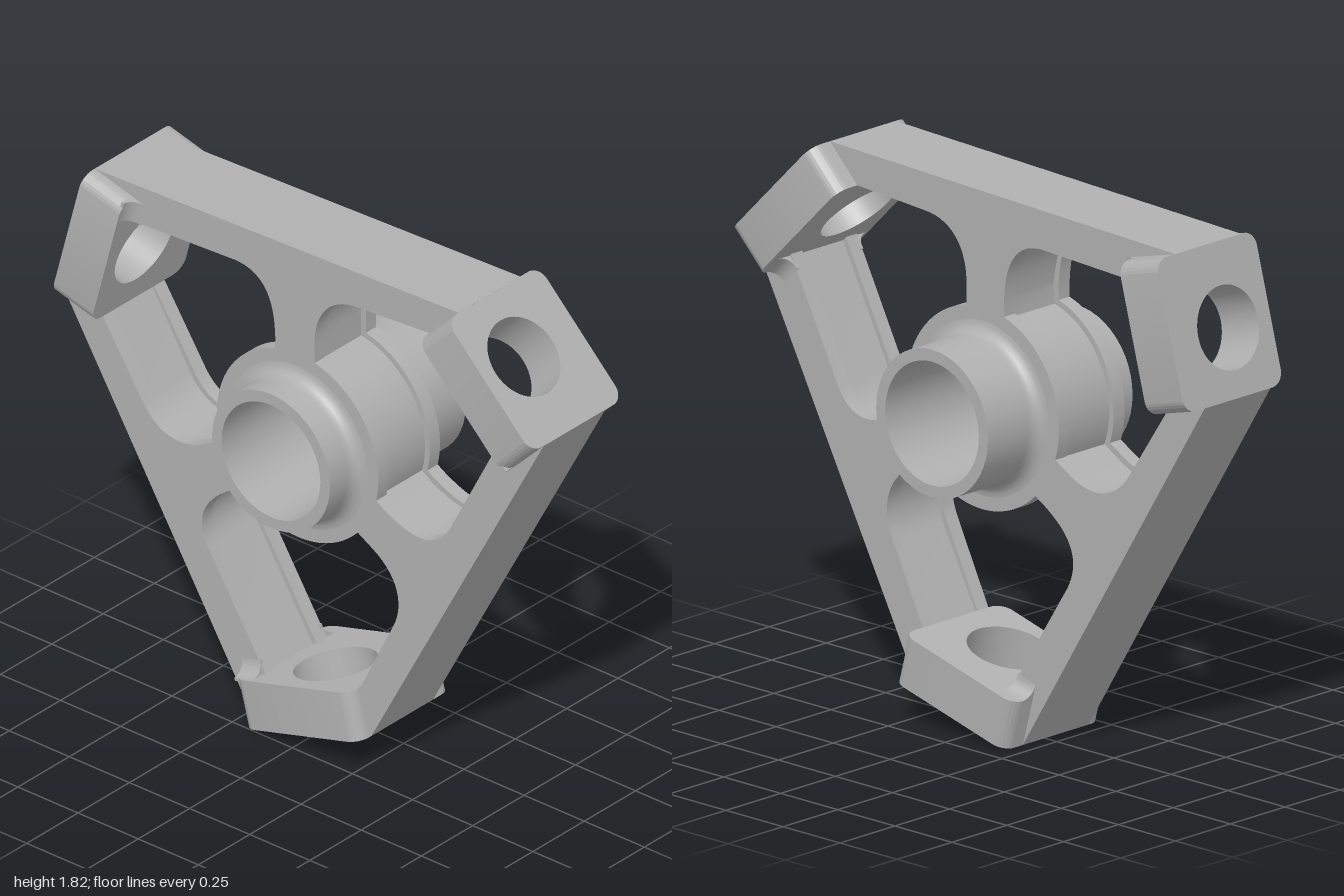
import * as THREE from 'three';
import { toCreasedNormals } from 'three/addons/utils/BufferGeometryUtils.js';

const BACK = -0.1, FRONT = 0.2;          // faces of the frame plate
const PAD_IN = 0.825, PAD_OUT = 0.995;   // pad distances from the hub axis
const PAD_V0 = -0.05, PAD_V1 = 0.45;     // pad extent along its tangent

const smooth = (g) => toCreasedNormals(g, 0.6);

// One third of the frame outline; g widens the pocket
function thirdOutline(g) {
  const p = new THREE.Path();
  const r = 0.335 - g, x0 = 0.07 - g;
  const a0 = Math.acos(x0 / r), a1 = -0.24 - 2 * g;
  p.moveTo(0.668, 0.739);
  p.lineTo(0.548, 0.619 + g * 0.5);
  p.lineTo(0.25, 0.6 + g);
  p.bezierCurveTo(0.14 - g / 2, 0.595 + g, x0, 0.52, x0, 0.4);
  p.lineTo(x0, r * Math.sin(a0));
  p.absarc(0, 0, r, a0, a1, true);
  p.lineTo(0.36 - g / 2, -0.1 - g);
  p.bezierCurveTo(0.42, -0.13 - g, 0.55 + g, -0.2 - g, 0.63 + g, -0.07);
  p.lineTo(0.838 + g, 0.329);
  p.lineTo(0.9015, 0.265);
  p.lineTo(1.0217, 0.385);
  return p.getPoints(14);
}

// Triangular frame layer with three open pockets
function frameLayer(z0, z1, g) {
  const third = thirdOutline(g), pts = [];
  for (let i = 0; i < 3; i++) {
    const o = new THREE.Vector2();
    for (const q of third) pts.push(q.clone().rotateAround(o, -i * Math.PI * 2 / 3));
  }
  const clean = pts.filter((q, i) => i === 0 || q.distanceTo(pts[i - 1]) > 1e-5);
  const shape = new THREE.Shape(clean);
  shape.holes.push(new THREE.Path().absarc(0, 0, 0.225, 0, Math.PI * 2, true));
  const geo = new THREE.ExtrudeGeometry(shape, { depth: z1 - z0, bevelEnabled: false, curveSegments: 32 });
  return smooth(geo.translate(0, 0, z0));
}

// Pad with rounded corners and a bolt hole; local x = -tangent, y = depth, z = outward
function padGeometry() {
  const x0 = -PAD_V1, x1 = -PAD_V0, y0 = -0.19, y1 = 0.26, r = 0.05;
  const s = new THREE.Shape();
  s.moveTo(x0 + r, y0);
  s.absarc(x1 - r, y0 + r, r, -Math.PI / 2, 0, false);
  s.absarc(x1 - r, y1 - r, r, 0, Math.PI / 2, false);
  s.absarc(x0 + r, y1 - r, r, Math.PI / 2, Math.PI, false);
  s.absarc(x0 + r, y0 + r, r, Math.PI, Math.PI * 1.5, false);
  s.holes.push(new THREE.Path().absarc(-0.175, 0.068, 0.137, 0, Math.PI * 2, true));
  const geo = new THREE.ExtrudeGeometry(s, { depth: PAD_OUT - PAD_IN, bevelEnabled: false, curveSegments: 24 });
  return smooth(geo.translate(0, 0, PAD_IN));
}

// Concave fillet joining the pad's inner face to the frame plate
function filletGeometry(z, side) {
  const r = 0.05, s = new THREE.Shape();
  s.moveTo(PAD_IN + 0.01, z - side * 0.01);
  s.lineTo(PAD_IN - r, z - side * 0.01);
  for (let i = 0; i <= 6; i++) {
    const t = (i / 6) * Math.PI / 2;
    s.lineTo(PAD_IN - r + r * Math.sin(t), z + side * r * (1 - Math.cos(t)));
  }
  s.lineTo(PAD_IN + 0.01, z + side * r);
  const geo = new THREE.ExtrudeGeometry(s, { depth: 0.08, bevelEnabled: false });
  return smooth(geo.translate(0, 0, 0.37).rotateY(-Math.PI / 2));
}

// Hub sleeve with fillets where it leaves the plate
function hubGeometry() {
  const ro = 0.245, ri = 0.205, f = 0.045, h = 0.33, pts = [[ri, -h], [ro, -h]];
  const n = 5;
  for (let i = 0; i <= n; i++) {
    const t = (i / n) * Math.PI / 2;
    pts.push([ro + f * (1 - Math.cos(t)), BACK - f + f * Math.sin(t)]);
  }
  for (let i = n; i >= 0; i--) {
    const t = (i / n) * Math.PI / 2;
    pts.push([ro + f * (1 - Math.cos(t)), FRONT + f - f * Math.sin(t)]);
  }
  pts.push([ro, h], [ri, h], [ri, -h]);
  const geo = new THREE.LatheGeometry(pts.map(([r, z]) => new THREE.Vector2(r, z)), 48);
  return smooth(geo.rotateX(Math.PI / 2));
}

export function createModel() {
  const metal = new THREE.MeshStandardMaterial({ color: 0xb0b0b0 });
  metal.name = 'greyMetal';
  const model = new THREE.Group();
  model.name = 'hubBracket';
  const body = new THREE.Group();
  body.name = 'bracketBody';
  body.position.set(-0.02, 1.08, 0);
  model.add(body);

  const add = (parent, name, geo) => {
    const m = new THREE.Mesh(geo, metal);
    m.name = name;
    parent.add(m);
  };

  // Frame: two flanges around a slightly recessed core
  add(body, 'frontFlange', frameLayer(0.15, FRONT, 0));
  add(body, 'frameCore', frameLayer(-0.05, 0.15, 0.02));
  add(body, 'backFlange', frameLayer(BACK, -0.05, 0));
  add(body, 'hubSleeve', hubGeometry());

  // Three mounting pads around the hub
  const pad = padGeometry();
  const fillets = [filletGeometry(FRONT, 1), filletGeometry(BACK, -1)];
  for (let i = 0; i < 3; i++) {
    const a = Math.PI / 4 - i * Math.PI * 2 / 3;
    const c = Math.cos(a), s = Math.sin(a);
    const arm = new THREE.Group();
    arm.name = 'mountingPad' + (i + 1);
    arm.quaternion.setFromRotationMatrix(new THREE.Matrix4().makeBasis(
      new THREE.Vector3(-s, c, 0), new THREE.Vector3(0, 0, 1), new THREE.Vector3(c, s, 0)));
    add(arm, 'padBlock', pad);
    fillets.forEach((g, k) => add(arm, k ? 'backFillet' : 'frontFillet', g));
    body.add(arm);
  }
  return model;
}
